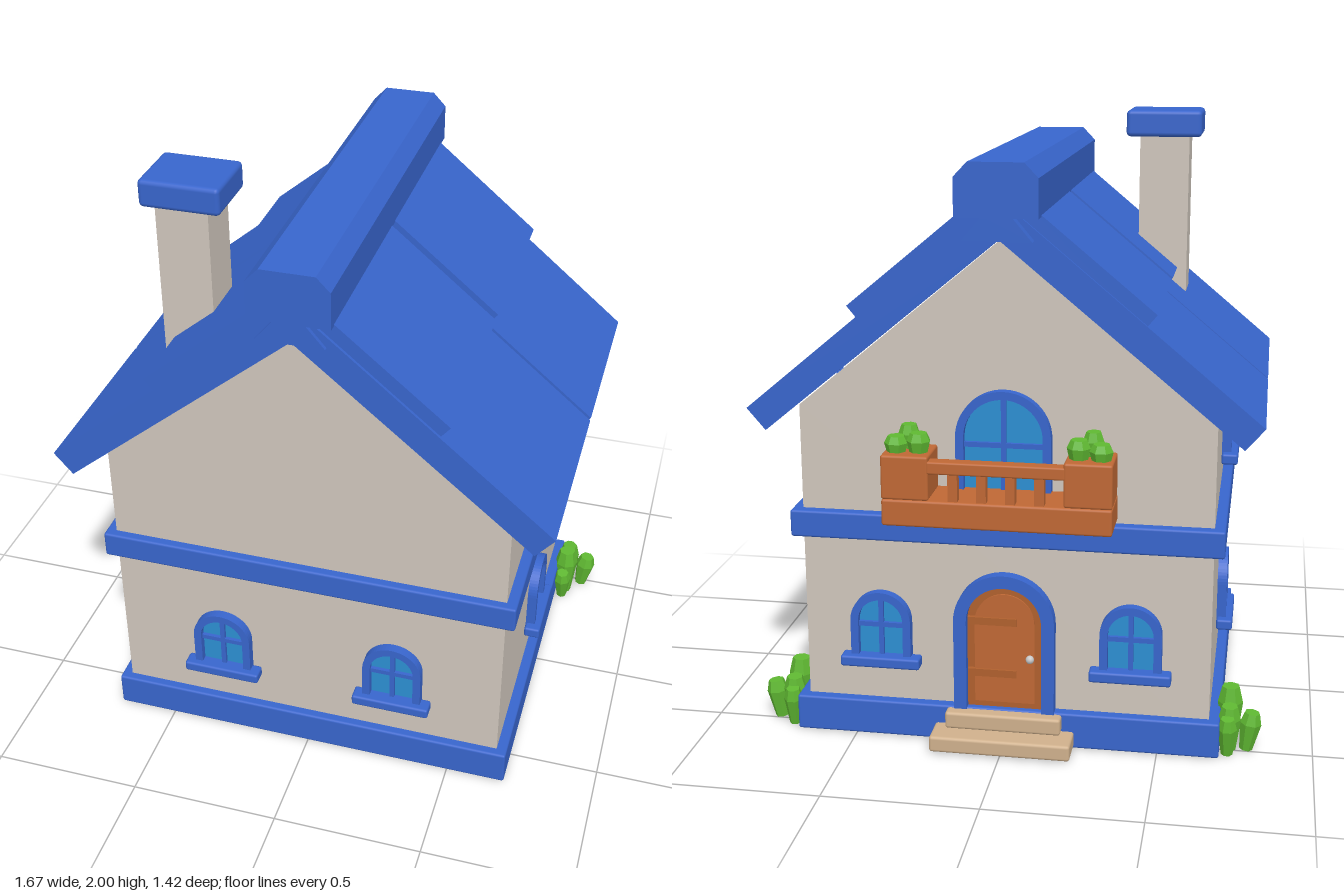
import * as THREE from 'three';
import { RoundedBoxGeometry } from 'three/addons/geometries/RoundedBoxGeometry.js';

const mat = (name, color, flatShading = false) => {
  const m = new THREE.MeshStandardMaterial({ color, flatShading });
  m.name = name;
  return m;
};

export function createModel() {
  const blue = mat('blue trim', 0x3865cc);
  const wall = mat('beige wall', 0xcfc6bc);
  const glass = mat('window glass', 0x2c8fd2);
  const wood = mat('orange wood', 0xbf6835);
  const doorWood = mat('door wood', 0xb0602e);
  const leaf = mat('leaf green', 0x5fb832, true);
  const stone = mat('tan stone', 0xcfb08c);
  const metal = mat('pale metal', 0xc8c8c8);

  const house = new THREE.Group();
  house.name = 'house';

  const add = (parent, name, geo, material) => {
    const m = new THREE.Mesh(geo, material);
    m.name = name;
    parent.add(m);
    return m;
  };
  // Box given by its minimum and maximum corners, with an optional rounded edge
  const box = (parent, name, material, [x0, x1], [y0, y1], [z0, z1], r = 0) => {
    const s = [x1 - x0, y1 - y0, z1 - z0];
    const geo = r ? new RoundedBoxGeometry(...s, 2, r) : new THREE.BoxGeometry(...s);
    const m = add(parent, name, geo, material);
    m.position.set((x0 + x1) / 2, (y0 + y1) / 2, (z0 + z1) / 2);
    return m;
  };
  // Profile in x and y, extruded from z0 to z1
  const prism = (parent, name, material, points, z0, z1) => {
    const shape = new THREE.Shape(points.map(p => new THREE.Vector2(...p)));
    const geo = new THREE.ExtrudeGeometry(shape, { depth: z1 - z0, bevelEnabled: false });
    geo.translate(0, 0, z0);
    return add(parent, name, geo, material);
  };
  // Round-topped outline: half width r, from y0 up to the top of the arch
  const arch = (Type, r, y0, top) => {
    const p = new Type();
    p.moveTo(-r, y0);
    p.lineTo(r, y0);
    p.lineTo(r, top - r);
    p.absarc(0, top - r, r, 0, Math.PI, false);
    p.closePath();
    return p;
  };
  const extrude = (shape, depth) =>
    new THREE.ExtrudeGeometry(shape, { depth, bevelEnabled: false, curveSegments: 14 });
  const archFrame = (r, top, border, bottom, depth) => {
    const shape = arch(THREE.Shape, r, 0, top);
    shape.holes.push(arch(THREE.Path, r - border, bottom, top - border));
    return extrude(shape, depth);
  };

  // Walls with gables
  prism(house, 'walls', wall,
    [[-0.665, 0.05], [0.665, 0.05], [0.665, 1.115], [0, 1.667], [-0.665, 1.115]], -0.54, 0.605);
  box(house, 'plinth', blue, [-0.7, 0.7], [0, 0.12], [-0.575, 0.635], 0.008);
  box(house, 'floorBand', blue, [-0.7, 0.7], [0.68, 0.77], [-0.575, 0.635], 0.008);

  // Roof: two slabs per slope, each with a raised upper layer
  const slab = [[0, 1.67], [0.75, 1.05], [0.81, 1.12], [0, 1.795]];
  const layer = [[0.05, 1.745], [0.445, 1.415], [0.478, 1.455], [0.05, 1.81]];
  const mirror = pts => pts.map(([x, y]) => [-x, y]);
  for (const [z0, z1] of [[-0.627, 0.021], [0.036, 0.695]]) {
    for (const flip of [pts => pts, mirror]) {
      prism(house, 'roofSlab', blue, flip(slab), z0, z1);
      prism(house, 'roofUpperLayer', blue, flip(layer), z0 + 0.01, z1 - 0.01);
    }
  }
  prism(house, 'ridgeCap', blue,
    [[-0.128, 1.74], [0.128, 1.74], [0.128, 1.86], [0.085, 1.905], [-0.085, 1.905], [-0.128, 1.86]],
    -0.672, 0.712);
  for (const [z0, z1] of [[-0.665, -0.6], [0.66, 0.708]]) {
    prism(house, 'ridgeBracket', blue,
      [[-0.108, 1.67], [0.108, 1.67], [0.045, 1.745], [-0.045, 1.745]], z0, z1);
  }

  // Chimney
  box(house, 'chimneyShaft', wall, [-0.51, -0.34], [1.25, 1.92], [0.262, 0.43]);
  box(house, 'chimneyCap', blue, [-0.553, -0.293], [1.91, 2], [0.235, 0.455], 0.015);

  // Arched window facing +z, its origin at the bottom middle on the wall
  const makeWindow = (r, h, withSill) => {
    const g = new THREE.Group();
    g.name = 'window';
    add(g, 'windowFrame', archFrame(r, h, 0.026, 0.02, 0.032), blue);
    add(g, 'windowGlass', extrude(arch(THREE.Shape, r - 0.02, 0.01, h - 0.02), 0.008), glass);
    const bar = (h - r) * 0.9;
    box(g, 'windowBarUpright', blue, [-0.008, 0.008], [0.01, h - 0.02], [0, 0.02]);
    box(g, 'windowBarCross', blue, [-r + 0.02, r - 0.02], [bar - 0.008, bar + 0.008], [0, 0.02]);
    if (withSill) box(g, 'windowSill', blue, [-0.132, 0.132], [-0.01, 0.027], [0, 0.055], 0.008);
    return g;
  };
  const place = (g, x, y, z, turn) => {
    g.position.set(x, y, z);
    g.rotation.y = turn;
    house.add(g);
  };
  for (const side of [-1, 1]) {
    place(makeWindow(0.1, 0.245, true), side * 0.3, 0.255, 0.605, 0);
    place(makeWindow(0.1, 0.245, true), side * 0.41, 0.255, -0.54, Math.PI);
    for (const y of [0.255, 0.855]) {
      place(makeWindow(0.1, 0.245, true), side * 0.665, y, 0.033, side * Math.PI / 2);
    }
  }
  place(makeWindow(0.152, 0.4, false), 0, 0.79, -0.54, Math.PI);

  // Door on the back wall
  const door = new THREE.Group();
  door.name = 'door';
  add(door, 'doorFrame', archFrame(0.165, 0.485, 0.042, 0.01, 0.04), blue);
  add(door, 'doorLeaf', extrude(arch(THREE.Shape, 0.13, 0, 0.45), 0.014), doorWood);
  add(door, 'doorPanel', extrude(arch(THREE.Shape, 0.098, 0.04, 0.415), 0.02), wood);
  for (const y of [0.13, 0.31]) {
    box(door, 'doorHinge', doorWood, [-0.12, 0.04], [y, y + 0.025], [0.01, 0.028]);
  }
  const knob = add(door, 'doorKnob', new THREE.SphereGeometry(0.014, 10, 8), metal);
  knob.position.set(0.085, 0.2, 0.03);
  place(door, 0, 0.1, -0.54, Math.PI);

  // Steps
  box(house, 'lowerStep', stone, [-0.23, 0.23], [0.004, 0.058], [-0.682, -0.56], 0.01);
  box(house, 'upperStep', stone, [-0.19, 0.19], [0.058, 0.115], [-0.615, -0.55], 0.01);

  // Leafy stalk, wider towards a blunt top
  const stalk = (name, x, y, z, h, r, leanX = 0, leanZ = 0) => {
    const profile = [[0, 0], [r * 0.6, 0], [r, h * 0.72], [r * 0.7, h], [0, h]]
      .map(p => new THREE.Vector2(...p));
    const m = add(house, name, new THREE.LatheGeometry(profile, 7), leaf);
    m.position.set(x, y, z);
    m.rotation.set(leanZ, 0, -leanX);
  };

  // Balcony with rail, planters and plants
  box(house, 'balconyFloor', wood, [-0.36, 0.36], [0.782, 0.868], [-0.712, -0.54], 0.008);
  box(house, 'balconyRail', wood, [-0.215, 0.215], [0.955, 0.995], [-0.712, -0.665], 0.006);
  for (let i = 0; i < 4; i++) {
    const x = -0.135 + i * 0.09;
    box(house, 'baluster', wood, [x - 0.015, x + 0.015], [0.86, 0.96], [-0.704, -0.674]);
  }
  for (const s of [-1, 1]) {
    const xs = [s * 0.21, s * 0.36].sort((a, b) => a - b);
    box(house, 'planter', wood, xs, [0.868, 1.01], [-0.712, -0.56], 0.008);
    stalk('planterPlant', s * 0.25, 0.98, -0.65, 0.09, 0.038);
    stalk('planterPlant', s * 0.32, 0.98, -0.655, 0.08, 0.038);
    stalk('planterPlant', s * 0.29, 0.98, -0.605, 0.105, 0.034);

    // Bushes by the back corners
    stalk('bush', s * 0.73, 0, -0.425, 0.19, 0.042);
    stalk('bush', s * 0.73, 0, -0.495, 0.155, 0.038, 0, -0.06);
    stalk('bush', s * 0.725, 0, -0.39, 0.125, 0.032, 0, 0.18);
    stalk('bush', s * 0.725, 0, -0.53, 0.13, 0.032, 0, -0.12);
    stalk('bush', s * 0.785, 0, -0.485, 0.13, 0.036, s * 0.14, 0);
  }
  return house;
}
